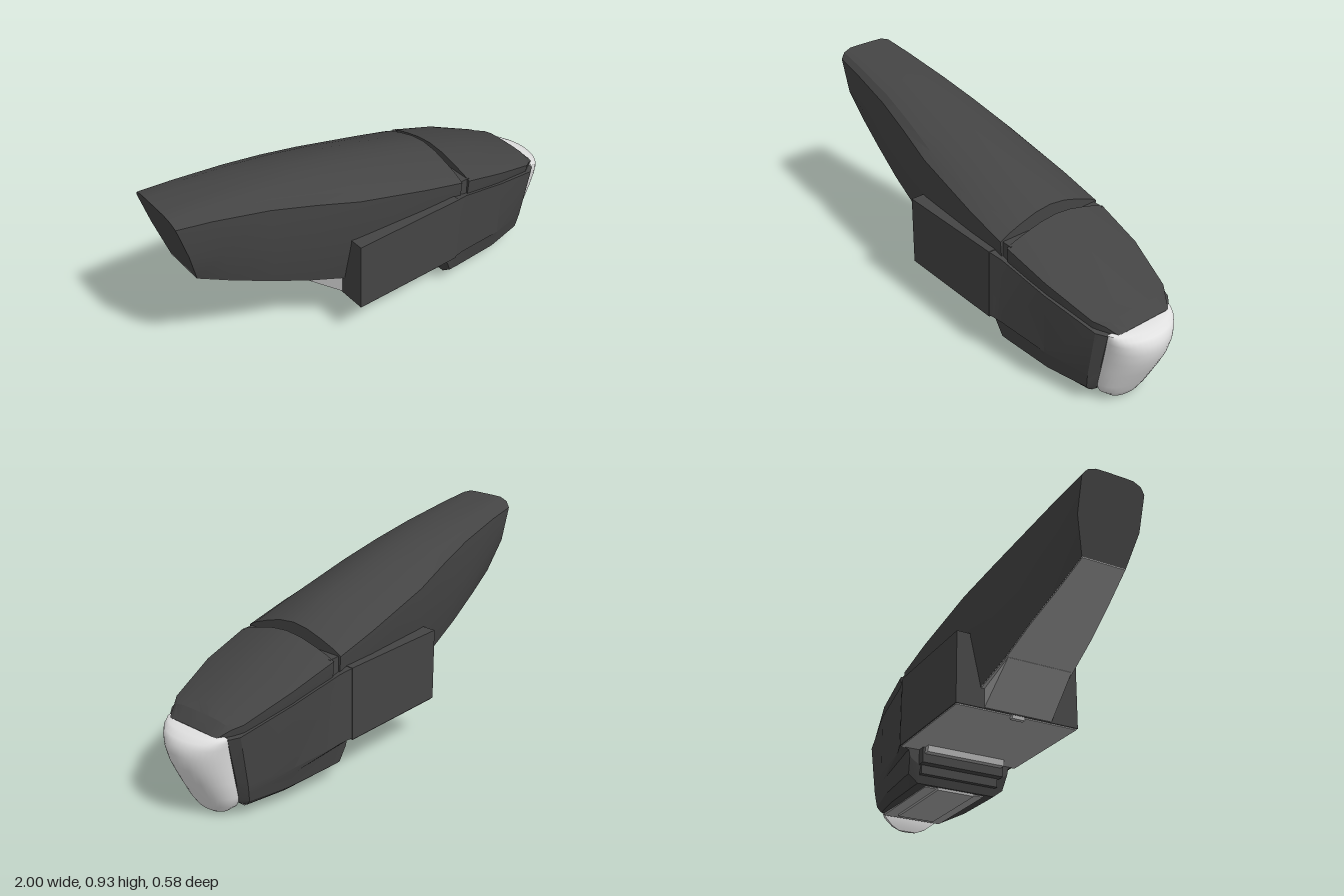
import * as THREE from 'three';
import { toCreasedNormals } from 'three/addons/utils/BufferGeometryUtils.js';

const mat = (name, color) => {
  const m = new THREE.MeshStandardMaterial({ color });
  m.name = name;
  return m;
};

// Joins half sections ([x, y, z], top to bottom, z >= 0) mirrored across z, from rear to nose
function loft(sections, crease = 0.4) {
  const rings = sections.map(half => [
    ...half,
    ...half.filter(p => p[2] > 0).reverse().map(([x, y, z]) => [x, y, -z]),
  ]);
  const n = rings[0].length, pos = [];
  const tri = (a, b, c) => pos.push(...a, ...b, ...c);
  for (let i = 0; i < rings.length - 1; i++) {
    for (let j = 0; j < n; j++) {
      const k = (j + 1) % n;
      const a = rings[i][j], b = rings[i][k], c = rings[i + 1][j], d = rings[i + 1][k];
      tri(a, b, c);
      tri(b, d, c);
    }
  }
  for (const [ring, front] of [[rings[0], false], [rings[rings.length - 1], true]]) {
    const mid = [0, 1, 2].map(e => ring.reduce((s, p) => s + p[e], 0) / n);
    for (let j = 0; j < n; j++) {
      const a = ring[j], b = ring[(j + 1) % n];
      if (front) tri(mid, a, b); else tri(mid, b, a);
    }
  }
  const g = new THREE.BufferGeometry();
  g.setAttribute('position', new THREE.Float32BufferAttribute(pos, 3));
  return toCreasedNormals(g, crease);
}

// Hull section: roof (flat = 1 at the tail, domed = 0), sharp shoulder, bulged side, flat belly
const hullSection = ([xt, xb, yt, yc, yb, w, wb, flat = 0]) => {
  const at = (y, z) => [xb + (xt - xb) * (y - yb) / (yt - yb), y, z];
  const roof = (domed, flattened, f) =>
    at(yt - (yt - yc) * (domed + (flattened - domed) * flat), w * f);
  return [
    at(yt, 0), roof(0.12, 0, 0.3), roof(0.42, 0.03, 0.6), roof(0.74, 0.36, 0.86), at(yc, w),
    at((yc + yb) / 2, (w + wb) / 2 + 0.02), at(yb, wb),
  ];
};

export function createModel() {
  const model = new THREE.Group();
  const dark = mat('charcoal', 0x444444);
  const light = mat('lightGrey', 0xa8a8a8);
  const white = mat('offWhite', 0xe0e0e0);

  const add = (name, geo, m) => {
    const mesh = new THREE.Mesh(geo, m);
    mesh.name = name;
    model.add(mesh);
  };
  const box = (name, m, x0, x1, y0, y1, z0, z1) => {
    const g = new THREE.BoxGeometry(x1 - x0, y1 - y0, z1 - z0);
    g.translate((x0 + x1) / 2, (y0 + y1) / 2, (z0 + z1) / 2);
    add(name, g, m);
  };

  // Long rear hull: x top, x belly, y top, y shoulder, y belly, shoulder width, belly width, flatness
  const rear = [
    [-1, -0.9, 0.933, 0.893, 0.59, 0.145, 0.1, 1],
    [-0.85, -0.76, 0.918, 0.872, 0.52, 0.158, 0.12, 0.85],
    [-0.6, -0.58, 0.89, 0.825, 0.438, 0.182, 0.145, 0.6],
    [-0.4, -0.4, 0.858, 0.775, 0.357, 0.21, 0.16, 0.4],
    [-0.2, -0.22, 0.817, 0.72, 0.29, 0.24, 0.18, 0.2],
    [0.14, 0.14, 0.732, 0.635, 0.3, 0.26, 0.2],
    [0.34, 0.34, 0.665, 0.585, 0.3, 0.262, 0.2],
  ];
  add('rearHull', loft(rear.map(hullSection)), dark);

  // Thin belly plate under the rear hull
  add('bellyPlate', loft(rear.slice(0, 5).map(([, x, , , y, , w]) =>
    [[x, y + 0.002, w], [x, y - 0.004, w - 0.002]])), light);

  // Forward hull, ending in a bevel above the nose
  add('frontHull', loft([
    [0.38, 0.38, 0.64, 0.577, 0.3, 0.262, 0.2],
    [0.6, 0.6, 0.562, 0.515, 0.25, 0.245, 0.17],
    [0.82, 0.8, 0.468, 0.437, 0.24, 0.195, 0.13],
    [0.865, 0.82, 0.447, 0.42, 0.25, 0.165, 0.12, 0.8],
    [0.91, 0.86, 0.398, 0.392, 0.28, 0.135, 0.1, 1],
  ].map(hullSection)), dark);

  // Floor of the groove between the two hulls
  box('seamCore', dark, 0.33, 0.39, 0.3, 0.583, -0.25, 0.25);

  // Wedge that joins the belly to the middle block
  add('bellyWedge', loft([
    [[-0.42, 0.375, 0.15], [-0.42, 0.361, 0.15]],
    [[-0.235, 0.33, 0.16], [-0.235, 0.205, 0.16]],
  ]), light);

  // Wide middle block with its pale underside and small rear catch
  box('middleBlock', dark, -0.24, 0.3, 0.205, 0.53, -0.29, 0.29);
  box('middleFloor', light, -0.235, 0.295, 0.2, 0.206, -0.286, 0.286);
  box('rearCatch', light, -0.24, -0.22, 0.188, 0.204, -0.03, 0.03);

  // Lower cowl, tapering towards the nose; points are [y, z]
  const cowl = [
    [0.29, 0.29, [[0.53, 0.24], [0.53, 0.29], [0.21, 0.29], [0.19, 0.25], [0.16, 0.245], [0.13, 0.2]]],
    [0.32, 0.32, [[0.52, 0.24], [0.525, 0.284], [0.21, 0.284], [0.19, 0.25], [0.09, 0.235], [0.055, 0.19]]],
    [0.36, 0.36, [[0.51, 0.24], [0.514, 0.272], [0.2, 0.271], [0.18, 0.25], [0.09, 0.235], [0.055, 0.19]]],
    [0.6, 0.6, [[0.455, 0.2], [0.462, 0.252], [0.18, 0.245], [0.15, 0.235], [0.085, 0.22], [0.055, 0.185]]],
    [0.84, 0.785, [[0.395, 0.165], [0.395, 0.2], [0.16, 0.19], [0.12, 0.185], [0.085, 0.18], [0.06, 0.16]]],
    [0.88, 0.805, [[0.39, 0.15], [0.386, 0.168], [0.2, 0.157], [0.15, 0.152], [0.09, 0.147], [0.07, 0.14]]],
  ];
  add('lowerCowl', loft(cowl.map(([xt, xb, pts]) =>
    pts.map(([y, z]) => [xb + (xt - xb) * (y - 0.06) / 0.33, y, z])), 0.3), dark);

  // Pale cowl underside with a raised tray
  box('cowlFloor', light, 0.335, 0.785, 0.05, 0.059, -0.145, 0.145);
  box('tray', light, 0.32, 0.74, 0.04, 0.052, -0.09, 0.09);

  // Stepped blocks and latch behind the cowl
  box('upperStep', dark, 0.25, 0.32, 0.13, 0.21, -0.2, 0.2);
  box('lowerStep', dark, 0.285, 0.33, 0.09, 0.14, -0.19, 0.19);
  box('latch', light, 0.22, 0.26, 0.17, 0.205, -0.19, 0.19);

  // Rounded nose: y, back x, front x, half width, stacked from bottom to top
  const rows = [
    [0.003, 0.83, 0.845, 0.045], [0.02, 0.822, 0.866, 0.085], [0.055, 0.81, 0.886, 0.128],
    [0.1, 0.805, 0.91, 0.145], [0.18, 0.823, 0.952, 0.15], [0.25, 0.84, 0.985, 0.155],
    [0.31, 0.855, 1, 0.16], [0.35, 0.865, 0.998, 0.164], [0.375, 0.872, 0.982, 0.167],
    [0.39, 0.876, 0.95, 0.166], [0.396, 0.88, 0.915, 0.158],
  ];
  const cols = 20, pos = [], idx = [];
  for (const [y, xb, xf, w] of rows) {
    for (let j = 0; j <= cols; j++) {
      const a = (j / cols - 0.5) * Math.PI;
      pos.push(xb + (xf - xb) * Math.pow(Math.max(Math.cos(a), 0), 0.95), y, Math.sin(a) * w);
    }
  }
  const stride = cols + 1;
  for (let i = 0; i < rows.length - 1; i++) {
    for (let j = 0; j < cols; j++) {
      const a = i * stride + j, b = a + 1, c = a + stride, d = c + 1;
      idx.push(a, c, b, b, c, d);
    }
  }
  // Close the top, bottom and back
  const last = (rows.length - 1) * stride;
  for (let j = 1; j < cols; j++) {
    idx.push(0, j, j + 1);
    idx.push(last, last + j + 1, last + j);
  }
  for (let i = 0; i < rows.length - 1; i++) {
    const a = i * stride, b = a + cols;
    idx.push(a, b, a + stride, b, b + stride, a + stride);
  }
  const nose = new THREE.BufferGeometry();
  nose.setAttribute('position', new THREE.Float32BufferAttribute(pos, 3));
  nose.setIndex(idx);
  add('nose', toCreasedNormals(nose, 0.9), white);

  return model;
}
